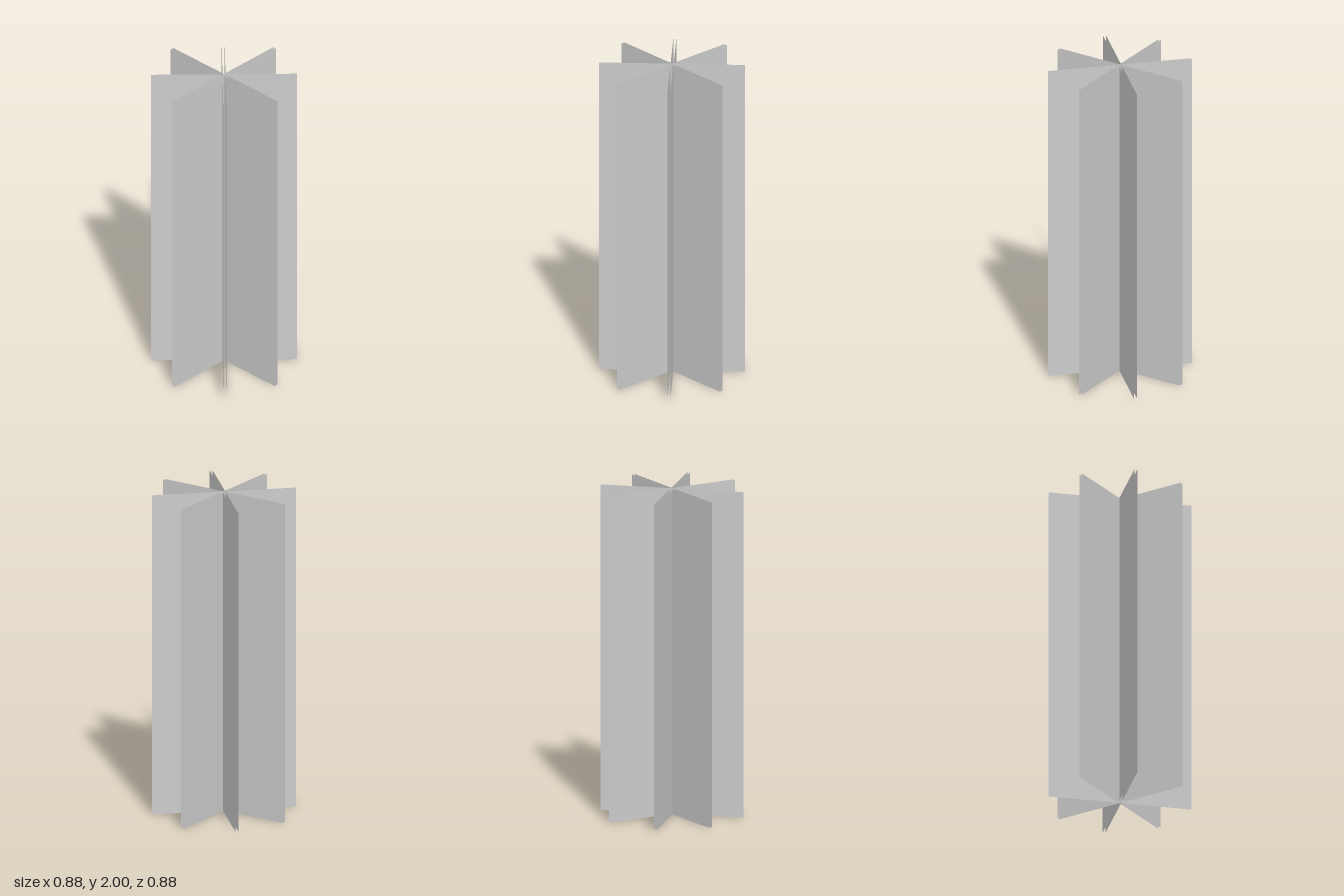
import * as THREE from 'three';

export function createModel() {
  const model = new THREE.Group();
  model.name = 'crossedPanels';

  const width = 0.876, height = 2, halfGap = 0.009;
  const material = new THREE.MeshStandardMaterial({ color: 0xcccccc, side: THREE.DoubleSide });

  // Upright sheet, open on all sides
  const sheet = new THREE.PlaneGeometry(width, height);
  sheet.translate(0, height / 2, 0);

  // Four double-sheet panels crossing on the vertical axis, 45 degrees apart
  for (let i = 0; i < 4; i++) {
    const panel = new THREE.Group();
    panel.name = `panel${i + 1}`;
    for (const side of [1, -1]) {
      const mesh = new THREE.Mesh(sheet, material);
      mesh.name = side > 0 ? 'frontSheet' : 'backSheet';
      mesh.position.z = side * halfGap;
      if (side < 0) mesh.rotation.y = Math.PI;
      panel.add(mesh);
    }
    panel.rotation.y = i * Math.PI / 4;
    model.add(panel);
  }
  return model;
}
